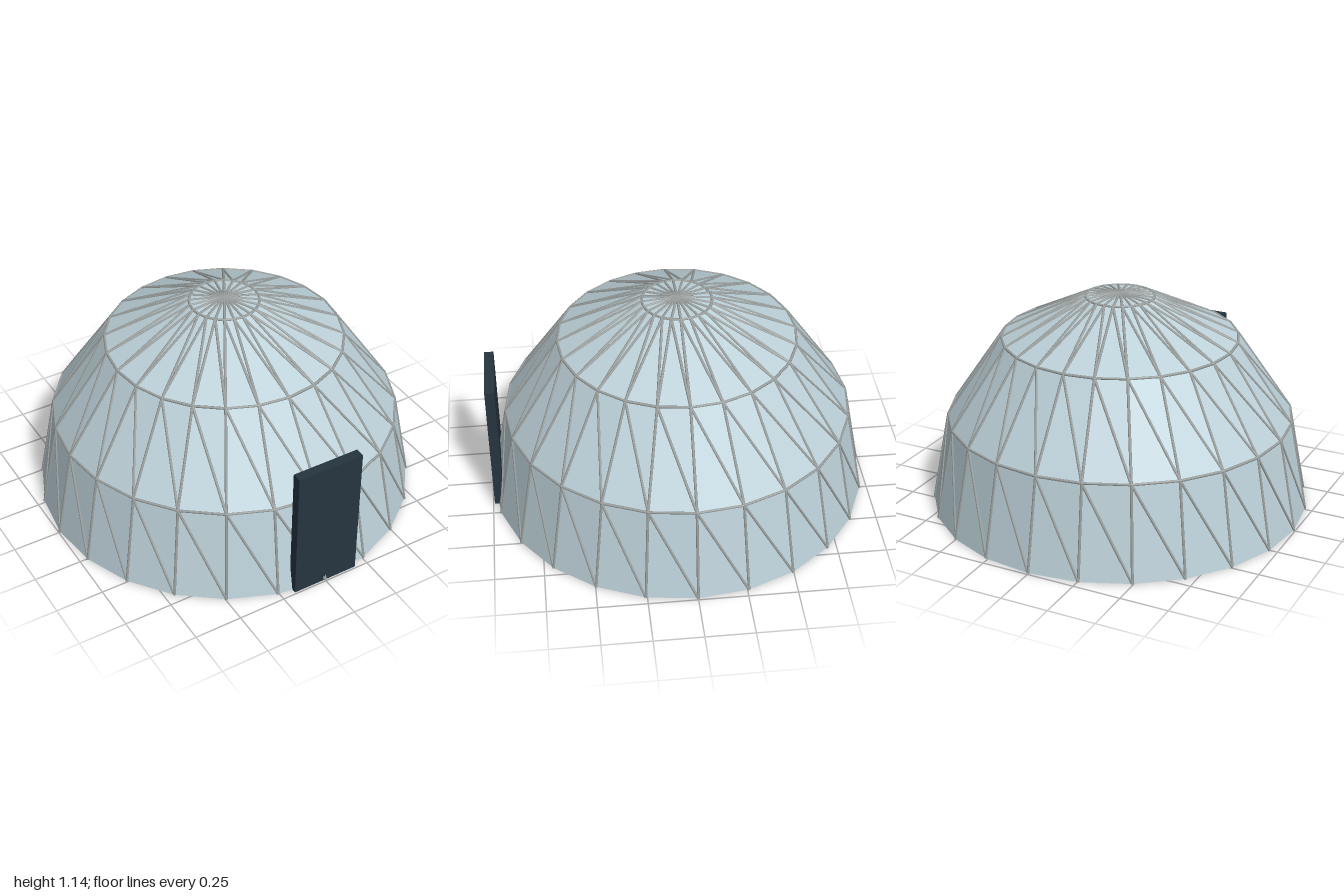
import * as THREE from 'three';
import { mergeGeometries } from 'three/addons/utils/BufferGeometryUtils.js';

const SIDES = 24;
const STRUT_RADIUS = 0.007;
// Dome rings from ground to crown: [radius, height]
const RINGS = [[0.993, 0], [0.9, 0.48], [0.612, 0.9], [0.178, 1.112]];
const APEX = new THREE.Vector3(0, 1.13, 0);

// Corner i of a ring; corner 0 faces the front
function corner(ring, i) {
  const [r, y] = RINGS[ring];
  const a = (i / SIDES) * Math.PI * 2;
  return new THREE.Vector3(r * Math.sin(a), y, r * Math.cos(a));
}

// Thin rod between two points
function strut(a, b) {
  const dir = b.clone().sub(a);
  const g = new THREE.CylinderGeometry(STRUT_RADIUS, STRUT_RADIUS, dir.length(), 6);
  g.applyQuaternion(new THREE.Quaternion().setFromUnitVectors(
    new THREE.Vector3(0, 1, 0), dir.normalize()));
  const mid = a.clone().add(b).multiplyScalar(0.5);
  return g.translate(mid.x, mid.y, mid.z);
}

// Flat-faced panels from a list of triangle corners
function panelGeometry(points) {
  const g = new THREE.BufferGeometry().setFromPoints(points);
  g.computeVertexNormals();
  return g;
}

export function createModel() {
  const group = new THREE.Group();
  group.name = 'geodesicDome';

  const panelMat = new THREE.MeshStandardMaterial({
    color: 0xbdd1d9, flatShading: true, side: THREE.DoubleSide });
  panelMat.name = 'pale glass';
  const strutMat = new THREE.MeshStandardMaterial({ color: 0x9ca2a1 });
  strutMat.name = 'light grey metal';
  const doorMat = new THREE.MeshStandardMaterial({ color: 0x263540 });
  doorMat.name = 'dark slate';

  const add = (name, geometry, material) => {
    const mesh = new THREE.Mesh(geometry, material);
    mesh.name = name;
    group.add(mesh);
    return mesh;
  };

  // Triangulated tiers: two panels, an upright, a diagonal and a ring strut per bay
  const tierNames = ['lower', 'middle', 'upper'];
  tierNames.forEach((name, t) => {
    const points = [], rods = [];
    for (let i = 0; i < SIDES; i++) {
      const b0 = corner(t, i), b1 = corner(t, i + 1);
      const t0 = corner(t + 1, i), t1 = corner(t + 1, i + 1);
      points.push(b0, b1, t0, b1, t1, t0);
      rods.push(strut(b0, t0), strut(b1, t0), strut(t0, t1));
    }
    add(name + 'Panels', panelGeometry(points), panelMat);
    add(name + 'Struts', mergeGeometries(rods), strutMat);
  });

  // Crown: fan of panels and struts meeting at the apex
  const crown = [], crownRods = [];
  for (let i = 0; i < SIDES; i++) {
    const p = corner(3, i);
    crown.push(p, corner(3, i + 1), APEX);
    crownRods.push(strut(p, APEX));
  }
  add('crownPanels', panelGeometry(crown), panelMat);
  add('crownStruts', mergeGeometries(crownRods), strutMat);

  // Door slab standing at the front
  add('door', new THREE.BoxGeometry(0.36, 0.735, 0.05), doorMat)
    .position.set(0, 0.3675, 0.968);

  return group;
}
